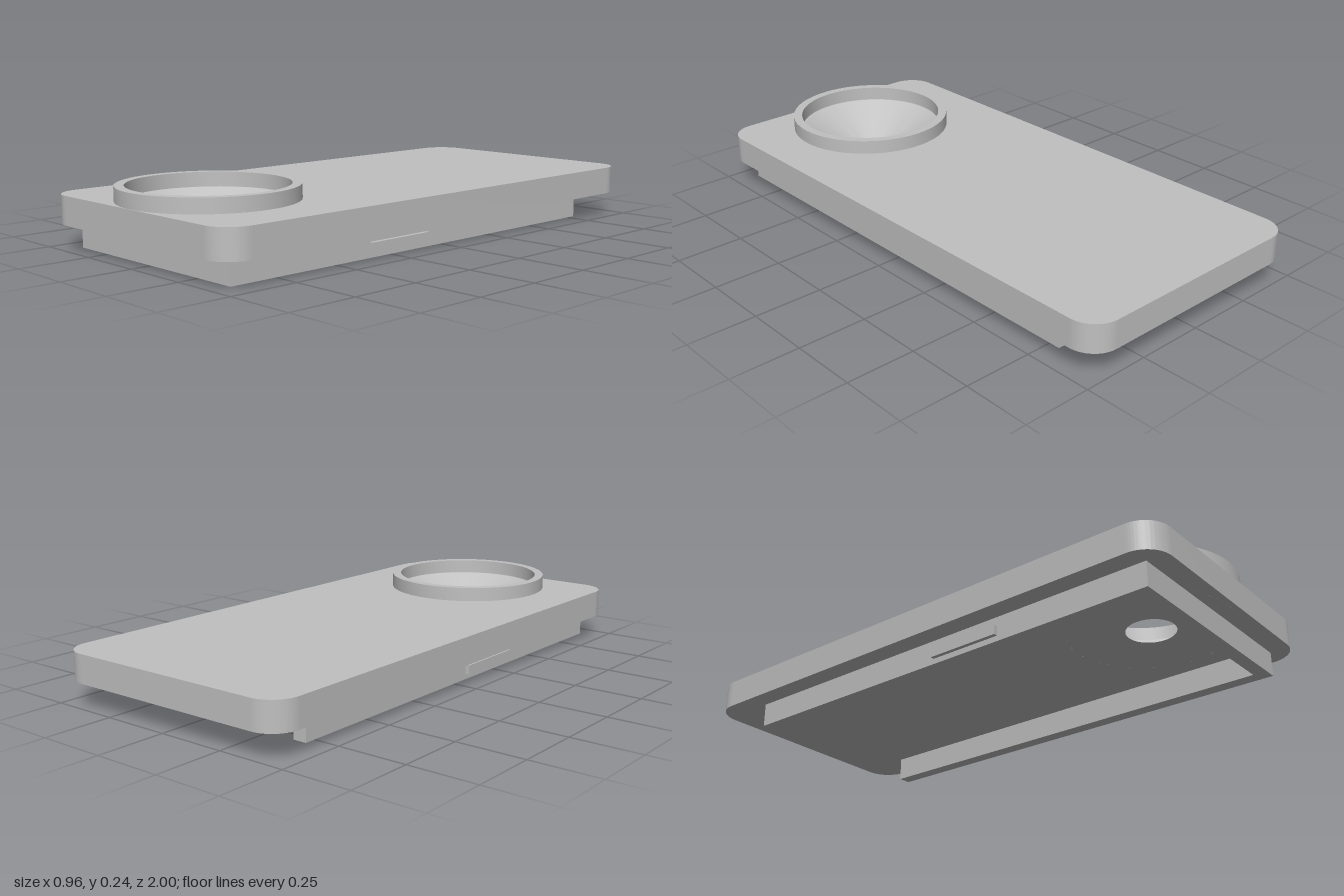
import * as THREE from 'three';
import { toCreasedNormals } from 'three/addons/utils/BufferGeometryUtils.js';

const SEGMENTS = 64;
const PLATE_BOTTOM = 0.088, PLATE_TOP = 0.19;
const BOWL_Z = 0.69, BOWL_HOLE = 0.29;

// Extrude a plan outline (shape y = -z) upward between two heights
function slab(shape, y0, y1) {
  const g = new THREE.ExtrudeGeometry(shape, { depth: y1 - y0, bevelEnabled: false, curveSegments: SEGMENTS });
  g.rotateX(-Math.PI / 2).translate(0, y0, 0);
  return toCreasedNormals(g, 0.5);
}

function roundedRect(w, h, r) {
  const s = new THREE.Shape();
  s.absarc(w - r, h - r, r, 0, Math.PI / 2);
  s.absarc(-w + r, h - r, r, Math.PI / 2, Math.PI);
  s.absarc(-w + r, -h + r, r, Math.PI, Math.PI * 1.5);
  s.absarc(w - r, -h + r, r, Math.PI * 1.5, Math.PI * 2);
  s.closePath();
  return s;
}

export function createModel() {
  const grey = new THREE.MeshStandardMaterial({ color: 0xc0c0c0 });
  grey.name = 'light grey';
  const model = new THREE.Group();
  model.name = 'slidingCover';
  const add = (name, geometry) => {
    const mesh = new THREE.Mesh(geometry, grey);
    mesh.name = name;
    model.add(mesh);
    return mesh;
  };

  // Rounded plate with an opening for the bowl
  const outline = roundedRect(0.48, 1, 0.1);
  const opening = new THREE.Path();
  opening.absarc(0, -BOWL_Z, BOWL_HOLE, 0, Math.PI * 2, true);
  outline.holes.push(opening);
  add('plate', slab(outline, PLATE_BOTTOM, PLATE_TOP));

  // Raised rim, conical bowl and the underside around its hole
  const profile = [
    [0.308, PLATE_TOP], [0.308, 0.242], [0.275, 0.242], [0.275, PLATE_TOP],
    [0.27, PLATE_TOP], [0.087, PLATE_BOTTOM], [BOWL_HOLE, PLATE_BOTTOM],
  ].map(([r, y]) => new THREE.Vector2(r, y));
  const bowl = add('funnelBowl', toCreasedNormals(new THREE.LatheGeometry(profile, SEGMENTS), 0.4));
  bowl.position.z = BOWL_Z;

  // U-shaped rail below the plate, open at the back
  const front = -0.925, back = 0.79, side = 0.405, t = 0.05;
  const rail = new THREE.Shape([
    [-side, back], [-side, front], [side, front], [side, back],
    [side - t, back], [side - t, front + t], [-side + t, front + t], [-side + t, back],
  ].map(([x, y]) => new THREE.Vector2(x, y)));
  add('rail', slab(rail, 0, PLATE_BOTTOM));

  // Small catches on the outer sides of the rail
  for (const s of [1, -1]) {
    const latch = add(s > 0 ? 'leftCatch' : 'rightCatch', new THREE.BoxGeometry(0.015, 0.034, 0.275));
    latch.position.set(s * (side + 0.0075), 0.037, 0.212);
  }
  return model;
}
